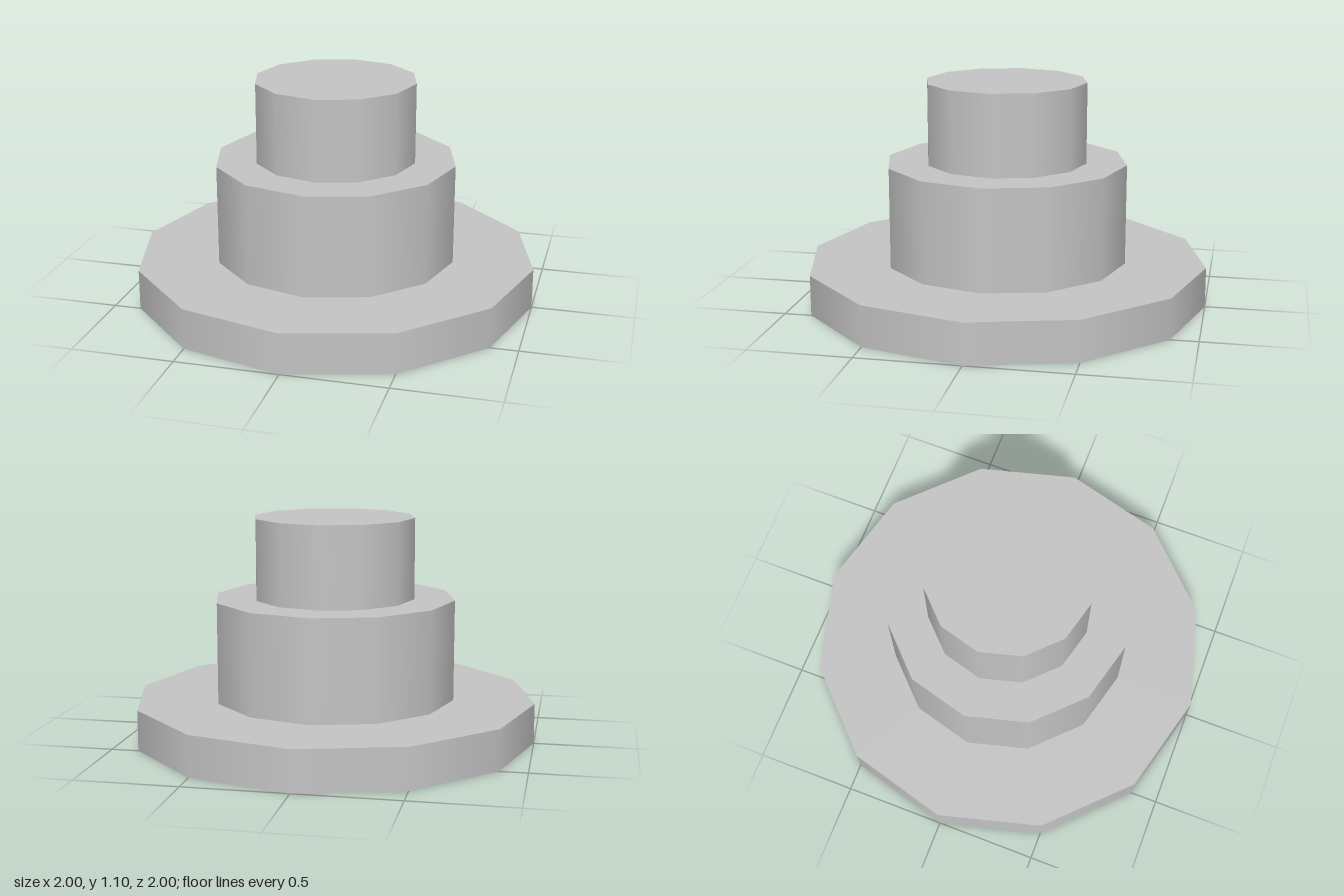
import * as THREE from 'three';

export function createModel() {
  const group = new THREE.Group();
  const grey = new THREE.MeshStandardMaterial({ color: 0xc4c4c4 });
  grey.name = 'lightGrey';

  // Stacked twelve-sided tiers: name, radius, bottom, top
  const tiers = [
    ['base', 1.0, 0, 0.2],
    ['middleTier', 0.6, 0.2, 0.7],
    ['topTier', 0.4, 0.7, 1.1],
  ];
  for (const [name, radius, bottom, top] of tiers) {
    const geometry = new THREE.CylinderGeometry(radius, radius, top - bottom, 12);
    const mesh = new THREE.Mesh(geometry, grey);
    mesh.name = name;
    mesh.position.y = (bottom + top) / 2;
    group.add(mesh);
  }
  return group;
}
